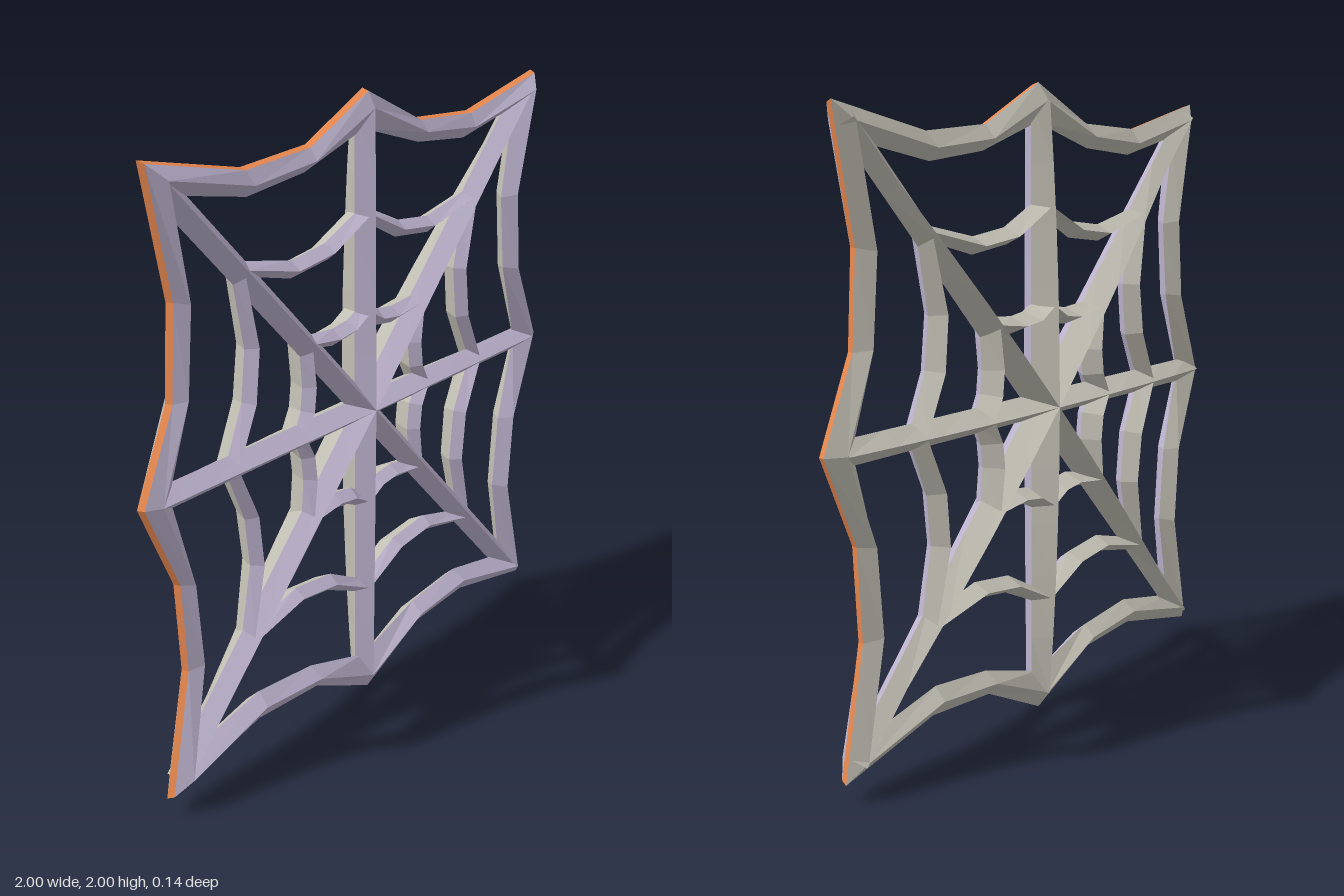
import * as THREE from 'three';

const lavender = new THREE.MeshStandardMaterial({ name: 'lavender front', color: 0xbfb5d0 });
const stone = new THREE.MeshStandardMaterial({ name: 'stone back', color: 0xc2bfb4 });
const orange = new THREE.MeshStandardMaterial({ name: 'orange rim', color: 0xe8884f });

// Flat-faced band of quads through neighbouring rows of 3D points
function band(name, rows, material) {
  const pos = [];
  for (let r = 0; r < rows.length - 1; r++) {
    const a = rows[r], b = rows[r + 1];
    for (let i = 0; i < a.length - 1; i++) {
      pos.push(...a[i], ...b[i], ...a[i + 1], ...b[i], ...b[i + 1], ...a[i + 1]);
    }
  }
  const geo = new THREE.BufferGeometry();
  geo.setAttribute('position', new THREE.Float32BufferAttribute(pos, 3));
  geo.computeVertexNormals();
  const mesh = new THREE.Mesh(geo, material);
  mesh.name = name;
  return mesh;
}

const quarterTurn = ([x, y], n) => (n === 0 ? [x, y] : quarterTurn([y, -x], n - 1));
const swapBack = (path) => path.map(([x, y]) => [y, x]).reverse();

// Clockwise closed loop from one eighth (top middle to corner)
function loop(eighth) {
  const quarter = [...eighth, ...swapBack(eighth).slice(1, -1)];
  const pts = [];
  for (let n = 0; n < 4; n++) pts.push(...quarter.map((p) => quarterTurn(p, n)));
  pts.push(pts[0]);
  return pts;
}

// Diamond-section bar: lavender roof in front, stone roof behind
function strand(name, path, width, front, back) {
  const left = [], right = [], ridge = [], keel = [];
  path.forEach(([x, y], i) => {
    const p = path[Math.max(i - 1, 0)], q = path[Math.min(i + 1, path.length - 1)];
    const len = Math.hypot(q[0] - p[0], q[1] - p[1]);
    const nx = -(q[1] - p[1]) / len * width(i), ny = (q[0] - p[0]) / len * width(i);
    const r = Math.hypot(x, y);
    left.push([x + nx, y + ny, 0.01]);
    right.push([x - nx, y - ny, 0.01]);
    ridge.push([x, y, front(r)]);
    keel.push([x, y, back(r)]);
  });
  const g = new THREE.Group();
  g.name = name;
  g.add(band(name + 'Front', [left, ridge, right], lavender));
  g.add(band(name + 'Back', [right, keel, left], stone));
  return g;
}

export function createModel() {
  const model = new THREE.Group();
  model.name = 'webPanel';
  const web = new THREE.Group();
  web.name = 'web';
  web.position.y = 1;
  model.add(web);

  // Scalloped outer frame
  const at = (pts, z) => pts.map(([x, y]) =>
    [x, y, typeof z === 'function' ? z(x, y) : z]);
  const outer = loop([[0, 1], [0.27, 0.875], [0.55, 0.857], [0.94, 0.94]]);
  const lip = loop([[0, 0.993], [0.27, 0.869], [0.55, 0.851], [0.932, 0.932]]);
  const crest = loop([[0, 0.945], [0.275, 0.833], [0.54, 0.81], [0.885, 0.885]]);
  const inner = loop([[0, 0.88], [0.28, 0.797], [0.53, 0.772], [0.83, 0.83]]);
  const isCorner = (x, y) => Math.abs(x) > 0.87 && Math.abs(y) > 0.87;
  const rimBack = at(outer, 0.01), rimFront = at(lip, 0.032), inside = at(inner, 0.015);
  const frame = new THREE.Group();
  frame.name = 'frame';
  frame.add(band('frameRim', [rimBack, rimFront], orange));
  frame.add(band('frameFront',
    [rimFront, at(crest, (x, y) => (isCorner(x, y) ? 0.07 : 0.058)), inside], lavender));
  frame.add(band('frameBack', [inside, at(crest, -0.028), rimBack], stone));
  web.add(frame);

  // Four straight spokes through the centre, bowed at the back
  const spokeFront = (r) => 0.066 - 0.008 * Math.min(r, 1);
  const bow = (r) => -0.072 + 0.042 * Math.min(r * r, 1);
  [[0.945, 0], [0.895, 0.895], [0, 0.945], [0.895, -0.895]].forEach(([ex, ey], k) => {
    const path = [];
    for (let i = -5; i <= 5; i++) path.push([ex * i / 5, ey * i / 5]);
    web.add(strand('spoke' + (k + 1), path, () => 0.039, spokeFront, bow));
  });

  // Two rings of sagging threads between the spokes
  const rings = [
    ['outerThread', [[0, 0.625], [0.175, 0.543], [0.34, 0.524], [0.575, 0.578]]],
    ['innerThread', [[0, 0.318], [0.07, 0.28], [0.15, 0.27], [0.285, 0.287]]],
  ];
  for (const [name, path] of rings) {
    for (let n = 0; n < 4; n++) {
      [path, swapBack(path)].forEach((half, k) => {
        web.add(strand(name + (n * 2 + k + 1), half.map((p) => quarterTurn(p, n)),
          (i) => (i === 0 || i === 3 ? 0.021 : 0.027), () => 0.045, (r) => bow(r) + 0.012));
      });
    }
  }
  return model;
}
